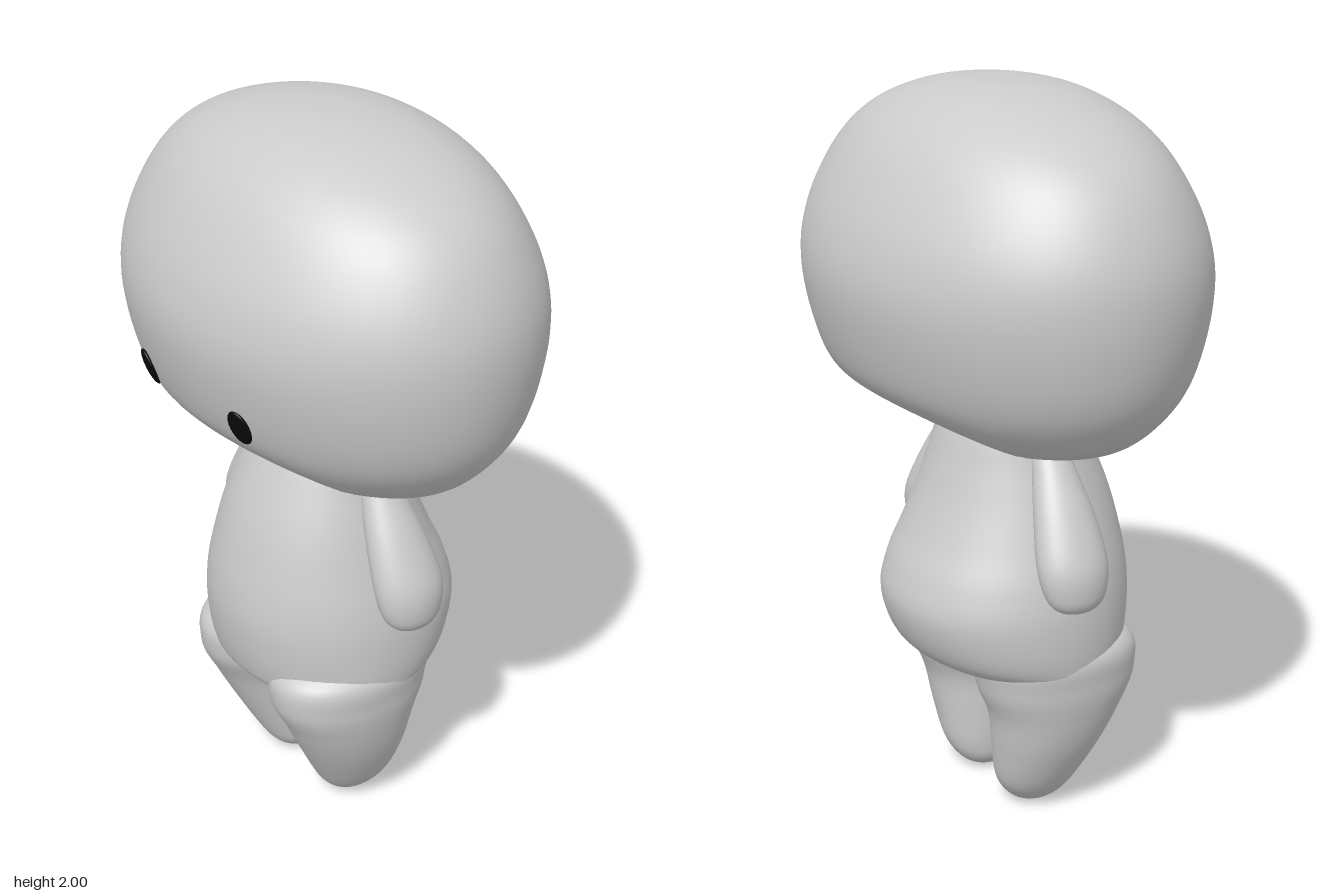
import * as THREE from 'three';

const grey = new THREE.MeshStandardMaterial({ color: 0xcccccc });
const black = new THREE.MeshStandardMaterial({ color: 0x0a0a0a });

const spline = (a, b, c, d, t) =>
  0.5 * (2 * b + (c - a) * t + (2 * a - 5 * b + 4 * c - d) * t * t + (3 * b - a - 3 * c + d) * t * t * t);

// Smooth closed loft through sections [y, xMin, xMax, zMin, zMax], bottom to top.
// Both ends are points; mirrored neighbours beyond them keep the ends round.
function loft(name, sections, power = 1, sides = 56, steps = 6) {
  const flip = ([y, x0, x1, z0, z1]) => [y, x1, x0, z1, z0];
  const s = [flip(sections[1]), ...sections, flip(sections[sections.length - 2])];
  const rows = (sections.length - 1) * steps;
  const pos = [], index = [];
  const round = v => Math.sign(v) * Math.abs(v) ** power;
  for (let i = 0; i <= rows; i++) {
    const k = Math.min(Math.floor(i / steps), sections.length - 2);
    const t = i / steps - k;
    const [y, x0, x1, z0, z1] = s[k].map((v, n) => spline(v, s[k + 1][n], s[k + 2][n], s[k + 3][n], t));
    for (let j = 0; j < sides; j++) {
      const a = (j / sides) * Math.PI * 2;
      pos.push((x0 + x1) / 2 + (x1 - x0) / 2 * round(Math.cos(a)), y,
        (z0 + z1) / 2 + (z1 - z0) / 2 * round(Math.sin(a)));
      if (i < rows) {
        const p = i * sides + j, q = i * sides + (j + 1) % sides;
        index.push(p, p + sides, q, q, p + sides, q + sides);
      }
    }
  }
  const geo = new THREE.BufferGeometry();
  geo.setAttribute('position', new THREE.Float32BufferAttribute(pos, 3));
  geo.setIndex(index);
  geo.computeVertexNormals();
  const mesh = new THREE.Mesh(geo, grey);
  mesh.name = name;
  return mesh;
}

// Same sections reflected to the other side of the body
const mirror = sections => sections.map(([y, x0, x1, z0, z1]) => [y, -x1, -x0, z0, z1]);

export function createModel() {
  const model = new THREE.Group();
  model.name = 'bigHeadedFigure';

  // Wide rounded head: y, half width, half depth
  const head = loft('head', [
    [1.1, 0, 0], [1.1, 0.28, 0.16], [1.115, 0.46, 0.27], [1.2, 0.565, 0.385], [1.32, 0.628, 0.447],
    [1.5, 0.657, 0.484], [1.65, 0.64, 0.462], [1.8, 0.565, 0.39], [1.9, 0.45, 0.31],
    [1.965, 0.29, 0.21], [1.995, 0.13, 0.1], [2, 0, 0],
  ].map(([y, w, d]) => [y, -w, w, -d, d]), 1, 80, 7);

  // Hollow the middle of the underside so the cheeks hang lower
  const p = head.geometry.attributes.position;
  for (let i = 0; i < p.count; i++) {
    const middle = Math.max(0, 1 - (p.getX(i) / 0.36) ** 2);
    const low = 1 - THREE.MathUtils.smoothstep(p.getY(i), 1.1, 1.3);
    p.setY(i, p.getY(i) + 0.042 * middle * low);
  }
  head.geometry.computeVertexNormals();
  model.add(head);

  // Torso with a round belly and a protruding rear
  model.add(loft('torso', [
    [0.4, 0, 0, 0.05, 0.05], [0.402, -0.2, 0.2, -0.09, 0.2], [0.425, -0.315, 0.315, -0.19, 0.288],
    [0.48, -0.338, 0.338, -0.28, 0.318], [0.6, -0.34, 0.34, -0.327, 0.335],
    [0.7, -0.325, 0.325, -0.308, 0.33], [0.8, -0.297, 0.297, -0.262, 0.31],
    [0.9, -0.267, 0.267, -0.22, 0.282], [1, -0.236, 0.236, -0.185, 0.242],
    [1.1, -0.205, 0.205, -0.15, 0.19], [1.18, -0.14, 0.14, -0.09, 0.12], [1.2, 0, 0, 0.02, 0.02],
  ], 0.95));

  // Tapered legs
  const leg = [
    [0.005, 0.125, 0.125, 0.03, 0.03], [0.012, 0.085, 0.165, -0.025, 0.075],
    [0.045, 0.052, 0.205, -0.068, 0.115], [0.1, 0.04, 0.242, -0.097, 0.15],
    [0.2, 0.032, 0.29, -0.115, 0.203], [0.3, 0.026, 0.32, -0.132, 0.253],
    [0.4, 0.004, 0.335, -0.168, 0.298], [0.5, 0.01, 0.32, -0.16, 0.27], [0.56, 0.15, 0.15, 0.05, 0.05],
  ];
  model.add(loft('leftLeg', leg, 0.95), loft('rightLeg', mirror(leg), 0.95));

  // Teardrop arms hanging from under the head
  const arm = [
    [0.662, 0.375, 0.375, 0, 0], [0.67, 0.335, 0.407, -0.055, 0.055], [0.71, 0.3, 0.424, -0.088, 0.088],
    [0.79, 0.27, 0.418, -0.1, 0.1], [0.9, 0.23, 0.365, -0.08, 0.09], [1, 0.19, 0.302, -0.053, 0.071],
    [1.1, 0.15, 0.228, -0.025, 0.053], [1.15, 0.16, 0.16, 0.015, 0.015],
  ];
  model.add(loft('leftArm', arm), loft('rightArm', mirror(arm)));

  // Oval eyes lying on the face
  for (const side of [1, -1]) {
    const eye = new THREE.Mesh(new THREE.SphereGeometry(1, 32, 16), black);
    eye.name = side > 0 ? 'leftEye' : 'rightEye';
    eye.scale.set(0.035, 0.055, 0.012);
    eye.position.set(side * 0.205, 1.32, 0.424);
    eye.rotation.set(0.36, side * 0.24, 0, 'YXZ');
    model.add(eye);
  }
  return model;
}
